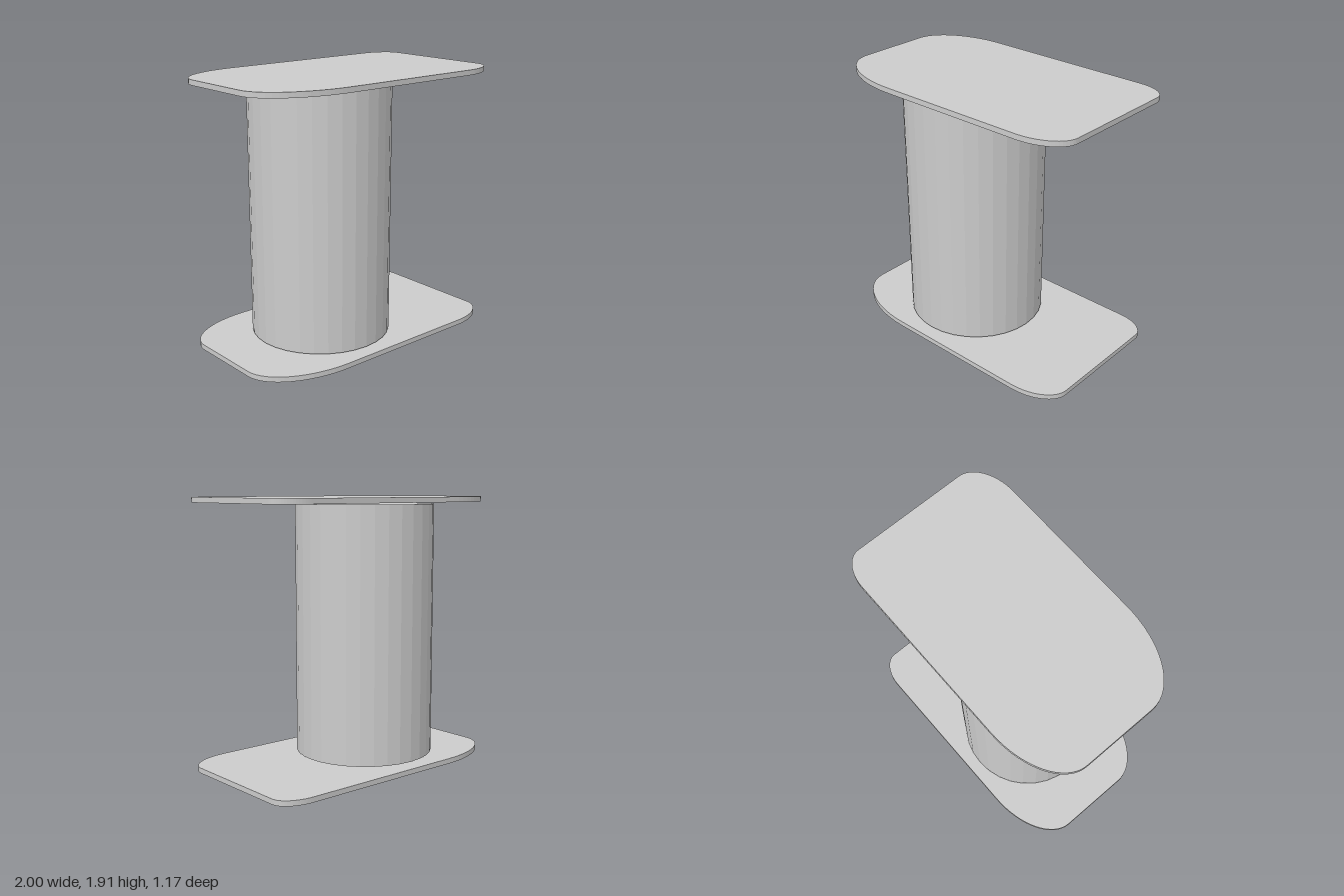
import * as THREE from 'three';

const material = new THREE.MeshStandardMaterial({ color: 0xcccccc, flatShading: true });

// Plate outline: a rectangle whose four corners are rounded by different ellipses.
function plateShape(hx, hz) {
  // Corner position signs (x, shape y = -z) and radii, counter-clockwise.
  const corners = [
    { sx: 1, sy: -1, rx: 0.32, ry: 0.2 },
    { sx: 1, sy: 1, rx: 0.22, ry: 0.14 },
    { sx: -1, sy: 1, rx: 0.52, ry: 0.3 },
    { sx: -1, sy: -1, rx: 0.59, ry: 0.345 },
  ];
  const k = 0.448; // handle offset that makes a Bezier quarter ellipse
  const shape = new THREE.Shape();
  corners.forEach(({ sx, sy, rx, ry }, i) => {
    const onX = (t) => [sx * (hx - rx * t), sy * hz];
    const onY = (t) => [sx * hx, sy * (hz - ry * t)];
    const [from, to] = sx * sy < 0 ? [onX, onY] : [onY, onX];
    if (i === 0) shape.moveTo(...from(1));
    else shape.lineTo(...from(1));
    shape.bezierCurveTo(...from(k), ...to(k), ...to(1));
  });
  shape.closePath();
  return shape;
}

export function createModel() {
  const group = new THREE.Group();
  group.name = 'pedestalTable';

  // Base and top share one thin plate.
  const plate = new THREE.ExtrudeGeometry(plateShape(1, 0.587), {
    depth: 0.037, bevelEnabled: false, curveSegments: 16,
  });
  plate.rotateX(-Math.PI / 2);
  for (const [name, y] of [['basePlate', 0], ['topPlate', 1.87]]) {
    const mesh = new THREE.Mesh(plate, material);
    mesh.name = name;
    mesh.position.y = y;
    group.add(mesh);
  }

  // Faceted column, off centre, with a small gap to each plate.
  const bottom = 0.053, top = 1.857;
  const column = new THREE.Mesh(new THREE.CylinderGeometry(0.498, 0.498, top - bottom, 32), material);
  column.name = 'column';
  column.position.set(-0.175, (bottom + top) / 2, 0);
  group.add(column);

  return group;
}
